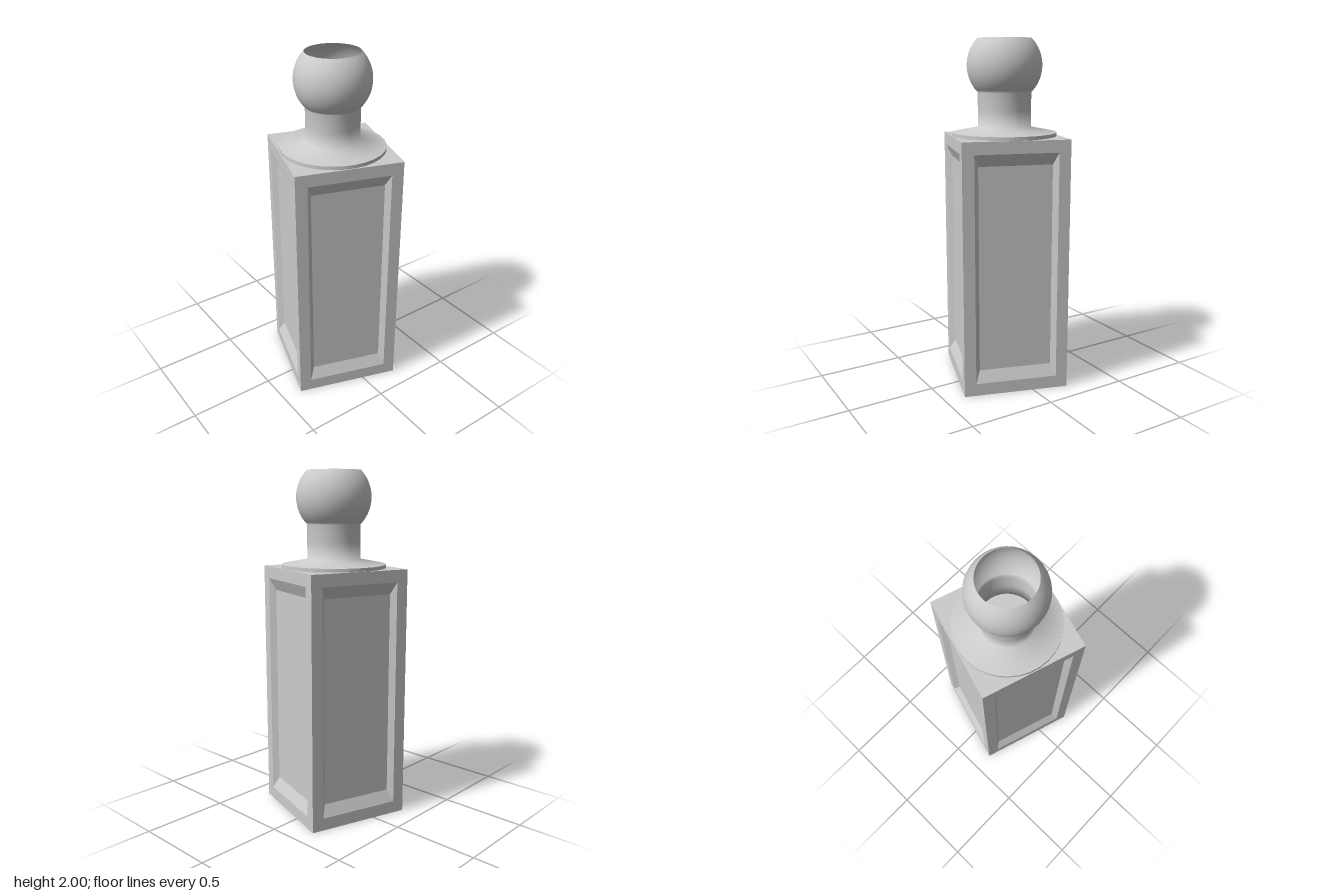
import * as THREE from 'three';

const HALF = 0.304, TOP = 1.455;
const material = new THREE.MeshStandardMaterial({ color: 0xcccccc, side: THREE.DoubleSide });

function mesh(name, geometry) {
  const m = new THREE.Mesh(geometry, material);
  m.name = name;
  return m;
}

// One wall facing +z: frame, sloped border and sunken panel, from nested rectangles
function panelWall() {
  const rects = [
    [HALF, 0, TOP, HALF],
    [0.237, 0.072, 1.385, HALF],
    [0.21, 0.14, 1.317, HALF - 0.032],
  ].map(([w, y0, y1, z]) => [[-w, y0, z], [w, y0, z], [w, y1, z], [-w, y1, z]]);
  const pos = [];
  const quad = (a, b, c, d) => pos.push(...a, ...b, ...c, ...a, ...c, ...d);
  for (let r = 0; r < 2; r++) {
    for (let i = 0; i < 4; i++) {
      const j = (i + 1) % 4;
      quad(rects[r][i], rects[r][j], rects[r + 1][j], rects[r + 1][i]);
    }
  }
  quad(...rects[2]);
  const g = new THREE.BufferGeometry();
  g.setAttribute('position', new THREE.Float32BufferAttribute(pos, 3));
  g.computeVertexNormals();
  return g;
}

export function createModel() {
  const model = new THREE.Group();
  model.name = 'ballPost';

  // Square post, turned about its axis, hollow and open below
  const post = new THREE.Group();
  post.name = 'post';
  post.rotation.y = -THREE.MathUtils.degToRad(18);
  const wall = panelWall();
  for (let i = 0; i < 4; i++) {
    const side = mesh('panelWall', wall);
    side.rotation.y = i * Math.PI / 2;
    post.add(side);
  }
  const cap = mesh('postTop', new THREE.PlaneGeometry(HALF * 2, HALF * 2).rotateX(-Math.PI / 2));
  cap.position.y = TOP;
  post.add(cap);
  model.add(post);

  // Thin upright rim of the collar
  const rim = mesh('collarRim', new THREE.CylinderGeometry(0.3, 0.3, 0.02, 32, 1, true));
  rim.position.y = TOP + 0.01;
  model.add(rim);

  // Sloped collar, neck and ball in one smooth turned profile, open at the top
  const profile = [[0.3, 1.475], [0.153, 1.503], [0.153, 1.6]].map(p => new THREE.Vector2(...p));
  const R = 0.214, open = Math.asin(0.153 / R), cy = 2 - R * Math.cos(open);
  for (let i = 0; i <= 20; i++) {
    const a = Math.PI - open - (Math.PI - 2 * open) * i / 20;
    profile.push(new THREE.Vector2(R * Math.sin(a), cy + R * Math.cos(a)));
  }
  model.add(mesh('finial', new THREE.LatheGeometry(profile, 32)));

  return model;
}
